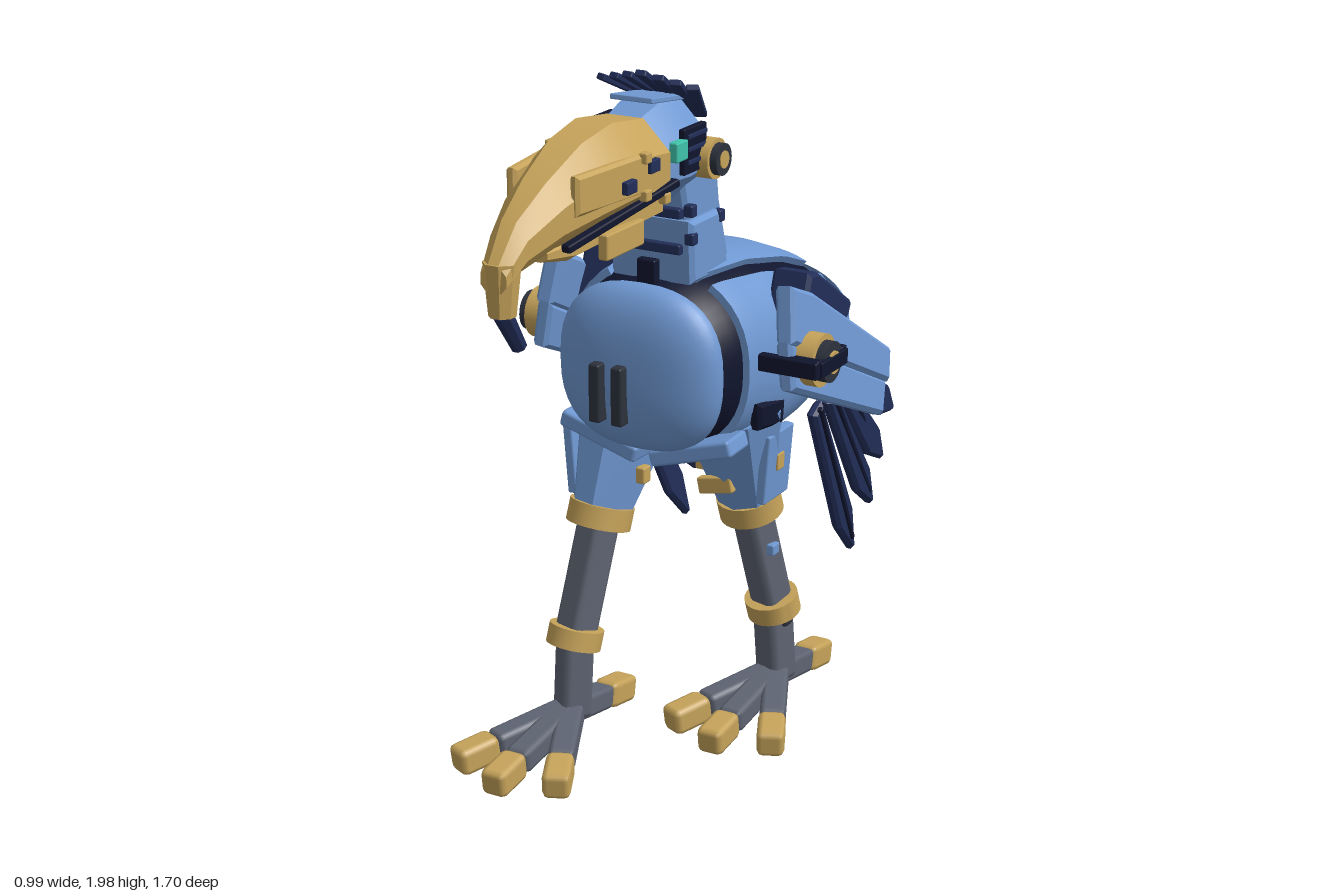
import * as THREE from 'three';
import { toCreasedNormals } from 'three/addons/utils/BufferGeometryUtils.js';
import { RoundedBoxGeometry } from 'three/addons/geometries/RoundedBoxGeometry.js';

const mat = (name, color, side = THREE.FrontSide) => Object.assign(new THREE.MeshStandardMaterial({ color, side }), { name });
const V = (x, y, z) => new THREE.Vector3(x, y, z);

export function createModel() {
  const model = new THREE.Group();
  const blue = mat('armour blue', 0x6f98d2, THREE.DoubleSide);
  const tan = mat('horn tan', 0xc6a35a);
  const navy = mat('feather navy', 0x222e58);
  const dark = mat('frame dark navy', 0x10152e, THREE.DoubleSide);
  const grey = mat('leg grey', 0x5e6472);
  const slate = mat('vent slate', 0x2c313c);
  const teal = mat('eye teal', 0x3fc4ac);

  const add = (name, geo, material, pos = [0, 0, 0], parent = model) => {
    const m = new THREE.Mesh(geo, material);
    m.name = name;
    m.position.set(...pos);
    parent.add(m);
    return m;
  };
  const box = (name, w, h, d, material, pos) =>
    add(name, new RoundedBoxGeometry(w, h, d, 1, Math.min(w, h, d) * 0.2), material, pos);
  // box stretched between two points
  const beam = (name, a, b, w, h, material) => {
    const m = add(name, new RoundedBoxGeometry(w, h, a.distanceTo(b), 1, Math.min(w, h) * 0.22), material,
      a.clone().add(b).multiplyScalar(0.5).toArray());
    m.lookAt(b);
    return m;
  };
  // tapered prism from a to b
  const limb = (name, a, b, ra, rb, sides, material) => {
    const g = toCreasedNormals(new THREE.CylinderGeometry(rb, ra, a.distanceTo(b), sides).rotateY(Math.PI / sides), 0.5);
    const m = add(name, g, material, a.clone().add(b).multiplyScalar(0.5).toArray());
    m.quaternion.setFromUnitVectors(V(0, 1, 0), b.clone().sub(a).normalize());
    return m;
  };
  // disc with its axis along x
  const disc = (name, r, w, material, pos) =>
    add(name, new THREE.CylinderGeometry(r, r, w, 28).rotateZ(Math.PI / 2), material, pos);
  // side outline given as [z, y], with thickness in x
  const sidePlate = (name, pts, t, material, x, parent) => {
    const b = Math.min(0.012, t * 0.3);
    const g = new THREE.ExtrudeGeometry(new THREE.Shape(pts.map(p => new THREE.Vector2(...p))),
      { depth: t - 2 * b, bevelThickness: b, bevelSize: b, bevelOffset: -b, bevelSegments: 1 });
    g.translate(0, 0, b - t / 2).rotateY(-Math.PI / 2);
    return add(name, g, material, [x, 0, 0], parent);
  };
  // surface from a rule f(u, v)
  const grid = (f, nu, nv, crease) => {
    const p = [], idx = [];
    for (let j = 0; j <= nv; j++) for (let i = 0; i <= nu; i++) p.push(...f(i / nu, j / nv, i, j));
    for (let j = 0; j < nv; j++) for (let i = 0; i < nu; i++) {
      const a = j * (nu + 1) + i, c = a + nu + 1;
      idx.push(a, a + 1, c, a + 1, c + 1, c);
    }
    const g = new THREE.BufferGeometry();
    g.setAttribute('position', new THREE.Float32BufferAttribute(p, 3));
    g.setIndex(idx);
    return toCreasedNormals(g, crease);
  };
  // eight-sided loft, stations [z, bottom, top, half width] from front to back
  const oct = [[0.4, 1], [1, 0.3], [1, -0.5], [0.6, -1], [-0.6, -1], [-1, -0.5], [-1, 0.3], [-0.4, 1]];
  const loft = st => grid((u, v, i, j) => {
    const [z, lo, hi, w] = st[Math.min(Math.max(j - 1, 0), st.length - 1)];
    const k = j === 0 || j === st.length + 1 ? 0 : 1, [ox, oy] = oct[i % 8];
    return [ox * w * k, (lo + hi) / 2 + oy * k * (hi - lo) / 2, z];
  }, 8, st.length + 1, 0.4);

  // ---- body ----
  const body = [[0.15, 0.96, 1.39, 0.23], [0.08, 0.91, 1.42, 0.27], [0, 0.88, 1.44, 0.29], [-0.2, 0.83, 1.445, 0.315],
    [-0.4, 0.85, 1.41, 0.31], [-0.58, 0.95, 1.34, 0.27], [-0.7, 1.02, 1.2, 0.2]];
  const pow = (s, e) => Math.sign(s) * Math.abs(s) ** e;
  const skin = (th, z, off) => {
    let k = 0;
    while (k < body.length - 2 && z < body[k + 1][0]) k++;
    const t = (z - body[k][0]) / (body[k + 1][0] - body[k][0]);
    const [lo, hi, w] = [1, 2, 3].map(n => THREE.MathUtils.lerp(body[k][n], body[k + 1][n], t));
    return [(w + off) * pow(Math.sin(th), 0.88), (lo + hi) / 2 + ((hi - lo) / 2 + off) * pow(Math.cos(th), 0.88), z];
  };
  add('bodyFrame', grid((u, v, i, j) => {
    const p = skin(u * Math.PI * 2, 0.15 - 0.82 * Math.min(1, Math.max(0, (j - 1) / 16)), -0.02);
    return j === 0 || j === 18 ? [0, 1.13, p[2]] : p;
  }, 40, 18, 0.6), dark);
  // shell panel with its rim folded inward
  const panel = (name, z0, z1, thA, thB) => add(name, grid((u, v, i, j) => {
    const edge = i === 0 || j === 0 || i === 18 || j === 18;
    const c = n => Math.min(1, Math.max(0, (n - 1) / 16));
    const z = THREE.MathUtils.lerp(z0, z1, c(j));
    return skin(THREE.MathUtils.lerp(thA(z), thB(z), c(i)), z, edge ? -0.035 : 0);
  }, 18, 18, 0.6), blue);
  const seam = z => 0.41 - z * 0.33, flank = z => seam(z) + 0.165 - z * 0.15;
  panel('backPanel', 0.02, -0.56, z => -seam(z), seam);
  panel('leftFlankPanel', 0.02, -0.56, flank, () => 3.03);
  panel('rightFlankPanel', 0.02, -0.56, () => -3.03, z => -flank(z));
  // domed caps at chest and rump
  add('chestPlate', grid((u, v) => {
    const r = Math.sin(v * Math.PI / 2) ** 0.65, th = u * Math.PI * 2;
    return [r * 0.255 * pow(Math.sin(th), 0.8), 1.165 + r * 0.24 * pow(Math.cos(th), 0.8), 0.115 + 0.09 * Math.cos(v * Math.PI / 2)];
  }, 40, 12, 0.7), blue);
  add('rumpPlate', grid((u, v) => {
    const a = (1 - v) * Math.PI / 2, r = Math.sin(a) ** 0.8, th = u * Math.PI * 2;
    return [r * 0.268 * pow(Math.sin(th), 0.85), 1.15 + r * 0.15 * pow(Math.cos(th), 0.85) - 0.085 * Math.cos(a), -0.62 - 0.15 * Math.cos(a)];
  }, 40, 12, 0.7), blue);
  for (const x of [-0.085, -0.015]) box('chestVent', 0.036, 0.17, 0.06, slate, [x, 1.105, 0.205]);
  // pelvis guards under the chest, with dark joints below the wings
  for (const s of [-1, 1]) {
    beam('pelvisGuard', V(s * 0.02, 0.895, 0.06), V(s * 0.27, 0.965, 0.05), 0.12, 0.05, blue);
    sidePlate('hipJoint', [[-0.02, 1.06], [-0.03, 0.98], [-0.17, 0.96], [-0.18, 1.04]], 0.04, dark, s * 0.278);
  }

  // ---- tail ----
  for (let i = -1; i <= 1; i++) {
    for (const k of [-1, 1])
      beam('tailFeather', V(i * 0.1 + k * 0.02, 1.09, -0.66), V(i * 0.115 + k * 0.026, 1.0, -0.84 + Math.abs(i) * 0.01), 0.055, 0.05, navy);
    beam('tailUnderFeather', V(i * 0.09, 1.01, -0.6), V(i * 0.11, 0.985, -0.8), 0.07, 0.03, dark);
  }

  // ---- neck ----
  sidePlate('neck', [[0.09, 1.71], [-0.11, 1.73], [-0.13, 1.6], [-0.185, 1.42], [0.04, 1.41], [0.05, 1.56]], 0.22, blue, 0);
  sidePlate('neckCollar', [[0.07, 1.58], [-0.09, 1.58], [-0.15, 1.4], [0.06, 1.4]], 0.26, blue, 0);
  box('throat', 0.06, 0.09, 0.03, dark, [0, 1.42, 0.08]);
  for (const y of [1.5, 1.6]) box('throatRib', 0.2, 0.03, 0.03, navy, [0, y, 0.068]);
  for (const s of [-1, 1]) for (const [y, z] of [[1.53, 0.055], [1.61, 0.06], [1.56, -0.1]])
    box('neckBolt', 0.03, 0.035, 0.03, navy, [s * 0.12, y, z]);

  // ---- head and crest ----
  add('head', loft([[0.22, 1.66, 1.88, 0.12], [0.1, 1.65, 1.915, 0.142], [0, 1.66, 1.9, 0.135], [-0.06, 1.72, 1.84, 0.09]]), blue);
  beam('browPlate', V(0, 1.925, 0.17), V(0, 1.9, -0.03), 0.13, 0.015, blue);
  for (let i = -3; i <= 3; i++)
    beam('crestFeather', V(i * 0.01, 1.82, -0.16), V(i * 0.047, 1.985 - Math.abs(i) * 0.01, 0.12 - Math.abs(i) * 0.01), 0.034, 0.018, navy);
  for (const s of [-1, 1]) {
    box('eyeSocket', 0.02, 0.125, 0.12, dark, [s * 0.14, 1.79, 0.085]);
    for (const y of [1.76, 1.795, 1.83]) box('socketSlat', 0.01, 0.012, 0.1, navy, [s * 0.15, y, 0.08]);
    box('eye', 0.028, 0.055, 0.06, teal, [s * 0.142, 1.8, 0.165]);
    disc('earRing', 0.056, 0.05, tan, [s * 0.15, 1.75, 0.012]);
    disc('earInner', 0.044, 0.025, slate, [s * 0.183, 1.75, 0.012]);
    disc('earCap', 0.024, 0.012, tan, [s * 0.193, 1.75, 0.012]);
  }

  // ---- beak ----
  add('upperBeak', loft([[0.845, 1.57, 1.64, 0.038], [0.77, 1.61, 1.735, 0.055], [0.65, 1.64, 1.81, 0.088],
    [0.5, 1.65, 1.88, 0.12], [0.36, 1.66, 1.905, 0.137], [0.2, 1.65, 1.885, 0.137]]), tan);
  add('lowerBeak', loft([[0.68, 1.61, 1.65, 0.055], [0.58, 1.592, 1.67, 0.08], [0.2, 1.615, 1.72, 0.115]]), tan);
  limb('beakHook', V(0, 1.64, 0.805), V(0, 1.5, 0.808), 0.05, 0.036, 8, tan);
  limb('hookTip', V(0, 1.51, 0.81), V(0, 1.4, 0.735), 0.028, 0.022, 8, navy);
  for (const s of [-1, 1]) {
    beam('beakSlit', V(s * 0.095, 1.648, 0.66), V(s * 0.143, 1.72, 0.18), 0.028, 0.022, dark);
    const cheek = sidePlate('cheekPlate', [[0.62, 1.72], [0.62, 1.825], [0.32, 1.83], [0.32, 1.72]], 0.03, tan, s * 0.167);
    cheek.rotation.y = -s * 0.12;
    box('jawPlate', 0.03, 0.07, 0.19, tan, [s * 0.105, 1.612, 0.4]);
    for (const [y, z] of [[1.76, 0.42], [1.79, 0.3]]) box('beakPort', 0.02, 0.035, 0.05, navy, [s * 0.142, y, z]);
    for (const [y, z] of [[1.72, 0.34], [1.82, 0.34], [1.69, 0.24]]) box('beakBolt', 0.025, 0.03, 0.03, tan, [s * 0.143, y, z]);
  }

  // ---- wings ----
  for (const s of [-1, 1]) {
    sidePlate('shoulderBlock', [[-0.1, 1.15], [-0.185, 1.405], [-0.24, 1.395], [-0.46, 1.255], [-0.44, 1.215], [-0.3, 1.12]], 0.12, navy, s * 0.305);
    const wing = new THREE.Group();
    wing.name = 'wing';
    wing.position.set(s * 0.388, 1.2, 0);
    wing.rotation.z = s * 0.13;
    model.add(wing);
    sidePlate('wingUpperPanel', [[-0.02, 0.215], [0.01, 0.06], [-0.55, -0.21], [-0.58, -0.115], [-0.14, 0.165]], 0.06, blue, s * 0.005, wing);
    sidePlate('wingLowerPanel', [[0.01, 0.065], [0.018, -0.07], [-0.51, -0.3], [-0.55, -0.205]], 0.05, blue, 0, wing);
    const tips = [[-0.33, 0.96, -0.65, 0.41], [-0.4, 0.98, -0.745, 0.53], [-0.45, 1.0, -0.775, 0.67], [-0.5, 1.02, -0.805, 0.82]];
    tips.forEach(([z0, y0, z1, y1], i) => {
      const d = new THREE.Vector2(z1 - z0, y1 - y0), n = d.clone().rotateAround(new THREE.Vector2(), Math.PI / 2).normalize();
      const at = (t, w) => [z0 + d.x * t + n.x * w, y0 + d.y * t + n.y * w];
      const f = sidePlate('wingFeather', [at(0, -0.03), at(0.78, -0.048), at(1, -0.01), at(1, 0.01), at(0.78, 0.048), at(0, 0.03)], 0.034, navy, 0);
      f.rotation.z = -s * 0.05;
      f.position.x = s * (0.265 + i * 0.009);
      beam('featherSpine', V(s * (0.331 + i * 0.009), y0, z0), V(s * (0.304 + i * 0.009), y1 + 0.04, z1 + 0.025), 0.016, 0.016, dark);
    });
    disc('wingHub', 0.075, 0.08, tan, [s * 0.42, 1.2, -0.08]);
    disc('wingHubRing', 0.058, 0.035, slate, [s * 0.47, 1.2, -0.08]);
    disc('wingHubCap', 0.032, 0.012, tan, [s * 0.489, 1.2, -0.08]);
  }
  // clasp on the left wing hub
  for (const z of [0, -0.15]) box('hubClasp', 0.12, 0.055, 0.03, dark, [0.43, 1.2, z]);
  box('hubClaspBar', 0.02, 0.045, 0.16, dark, [0.488, 1.2, -0.075]);
  box('hubClaspArm', 0.18, 0.05, 0.03, dark, [0.4, 1.2, 0.01]);

  // ---- legs: side, hip z, knee z, ankle z, foot z ----
  for (const [s, hipZ, kneeZ, ankZ, footZ] of [[-1, -0.08, 0.07, 0.17, 0.18], [1, -0.14, -0.22, -0.32, -0.34]]) {
    const hip = V(s * 0.148, 1.0, hipZ), knee = V(s * 0.165, 0.68, kneeZ), ankle = V(s * 0.193, 0.33, ankZ), foot = V(s * 0.2, 0.08, footZ);
    limb('thigh', hip, knee, 0.155, 0.085, 8, blue);
    const mid = hip.clone().lerp(knee, 0.55);
    const guard = box('thighGuard', 0.03, 0.21, 0.15, blue, [s * 0.262, 0.83, mid.z]);
    guard.rotation.z = -s * 0.08;
    box('thighLatch', 0.02, 0.05, 0.04, tan, [s * 0.274, 0.84, mid.z]);
    box('innerLatch', 0.03, 0.05, 0.04, tan, [s * 0.045, 0.81, mid.z + 0.03]);
    beam('shin', knee, ankle, 0.095, 0.1, grey);
    beam('anklePost', ankle, foot, 0.095, 0.095, grey);
    // cuffs follow the shin
    const dir = ankle.clone().sub(knee).normalize();
    const cuff = (name, c, r, h) => limb(name, c.clone().addScaledVector(dir, -h / 2), c.clone().addScaledVector(dir, h / 2), r, r, 28, tan);
    cuff('kneeCuff', knee, 0.094, 0.065);
    cuff('ankleCuff', ankle, 0.08, 0.058);
    box('ankleLatch', 0.05, 0.05, 0.05, slate, [s * 0.225, 0.29, ankZ - 0.005]);
    // toes with tan ends
    for (const [dx, dz] of [[-0.165, 0.36], [0, 0.43], [0.165, 0.36], [0, -0.31]]) {
      const a = foot.clone().setY(0.1), tip = V(foot.x + dx, 0.047, footZ + dz);
      const joint = tip.clone().lerp(a, 0.13 / tip.distanceTo(a));
      beam('toe', a, joint, 0.075, 0.072, grey);
      beam('toeEnd', joint, tip, 0.08, 0.08, tan);
    }
  }
  const patch = box('thighPatch', 0.11, 0.05, 0.03, tan, [0.125, 0.77, -0.09]);
  patch.rotation.z = 0.2;
  box('shinTab', 0.03, 0.035, 0.04, blue, [0.225, 0.535, -0.25]);
  return model;
}
